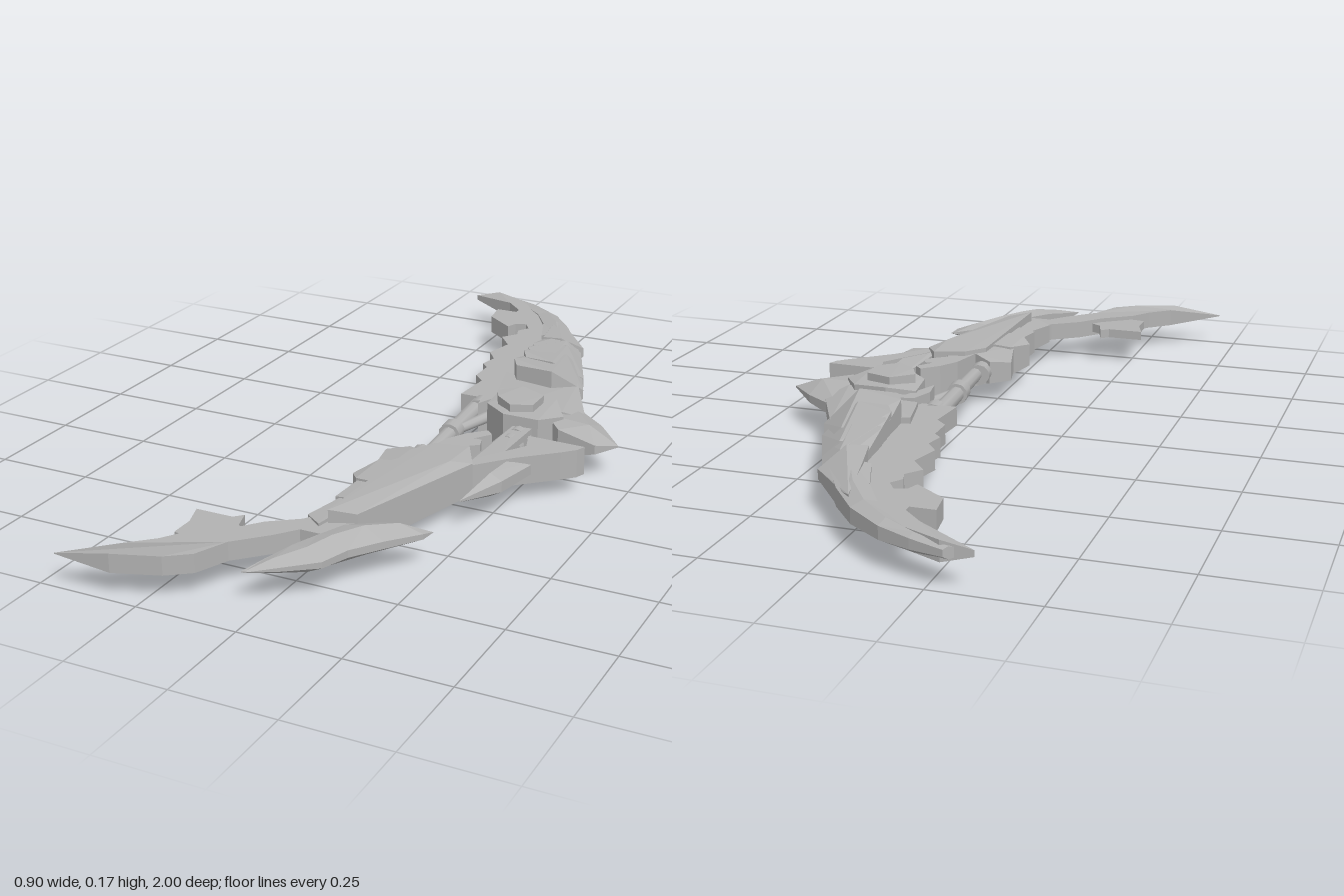
import * as THREE from 'three';
import { ConvexGeometry } from 'three/addons/geometries/ConvexGeometry.js';

const MID = 0.083; // height of the symmetry plane

export function createModel() {
  const model = new THREE.Group();
  model.name = 'curvedBow';
  const grey = new THREE.MeshStandardMaterial({ color: 0xb2b2b2 });
  grey.name = 'plain grey';

  const add = (name, geo) => {
    const mesh = new THREE.Mesh(geo, grey);
    mesh.name = name;
    model.add(mesh);
    return mesh;
  };

  // faceted solid from [x, z, halfHeight] points mirrored about MID
  const hull = (name, pts) => add(name, new ConvexGeometry(pts.flatMap(([x, z, h]) => [
    new THREE.Vector3(x, MID + h, z), new THREE.Vector3(x, MID - h, z)])));

  // flat plate cut from an [x, z] outline; taper(x, z) scales its thickness
  const plate = (name, outline, h, taper = () => 1) => {
    const shape = new THREE.Shape(outline.map(([x, z]) => new THREE.Vector2(x, z)));
    const geo = new THREE.ExtrudeGeometry(shape, { depth: 2 * h, bevelEnabled: false });
    geo.rotateX(Math.PI / 2).translate(0, h, 0);
    const p = geo.attributes.position;
    for (let i = 0; i < p.count; i++) p.setY(i, MID + p.getY(i) * taper(p.getX(i), p.getZ(i)));
    geo.computeVertexNormals();
    return add(name, geo);
  };

  // bladed bar through sections [outerX, outerZ, innerX, innerZ, halfHeight]
  const blade = (name, sections, outerScale, innerScale) => {
    const pos = [], idx = [], n = 6;
    for (const [ox, oz, ix, iz, h] of sections) {
      const mx = (ox + ix) / 2, mz = (oz + iz) / 2, o = h * outerScale, i = h * innerScale;
      for (const [x, y, z] of [[ox, o, oz], [mx, h, mz], [ix, i, iz], [ix, -i, iz], [mx, -h, mz], [ox, -o, oz]])
        pos.push(x, MID + y, z);
    }
    for (let s = 0; s < sections.length - 1; s++)
      for (let k = 0; k < n; k++) {
        const a = s * n + k, b = s * n + (k + 1) % n;
        idx.push(a, a + n, b, b, a + n, b + n);
      }
    const e = (sections.length - 1) * n;
    for (let k = 1; k < n - 1; k++) idx.push(0, k, k + 1, e, e + k + 1, e + k);
    // sections always advance towards +z with the outer edge on +x
    for (let t = 0; t < idx.length; t += 3) [idx[t + 1], idx[t + 2]] = [idx[t + 2], idx[t + 1]];
    const indexed = new THREE.BufferGeometry();
    indexed.setAttribute('position', new THREE.Float32BufferAttribute(pos, 3));
    indexed.setIndex(idx);
    const geo = indexed.toNonIndexed();
    geo.computeVertexNormals();
    return add(name, geo);
  };

  // round bar between two [x, z] points
  const rod = (name, [x0, z0], [x1, z1], r0, r1 = r0, y = MID) => {
    const a = new THREE.Vector3(x0, y, z0), b = new THREE.Vector3(x1, y, z1);
    const d = b.clone().sub(a);
    const mesh = add(name, new THREE.CylinderGeometry(r1, r0, d.length(), 10));
    mesh.position.copy(a).add(b).multiplyScalar(0.5);
    mesh.quaternion.setFromUnitVectors(new THREE.Vector3(0, 1, 0), d.normalize());
  };

  // ragged fin along the inside of the upper limb
  plate('upperFin', [
    [-0.35, -0.98], [-0.21, -0.91], [-0.16, -0.86], [-0.16, -0.84], [-0.22, -0.84], [-0.21, -0.77],
    [-0.13, -0.71], [-0.12, -0.74], [-0.09, -0.75], [-0.07, -0.72], [-0.09, -0.69], [-0.08, -0.66],
    [-0.11, -0.62], [-0.07, -0.57], [-0.09, -0.49], [-0.06, -0.45], [-0.07, -0.4], [-0.05, -0.38],
    [-0.05, -0.31], [-0.02, -0.28], [-0.03, -0.17], [0.06, -0.17], [0.15, -0.3], [0.1, -0.6],
    [0, -0.78], [-0.13, -0.92], [-0.28, -0.99],
  ], 0.024, (x) => (x < -0.3 ? 0.3 : 1));

  // horn curling to the upper tip
  blade('upperHorn', [
    [-0.29, -1, -0.31, -0.985, 0.014], [-0.21, -0.975, -0.22, -0.95, 0.022],
    [-0.13, -0.94, -0.15, -0.9, 0.028], [-0.04, -0.87, -0.09, -0.84, 0.034],
    [0.03, -0.78, -0.04, -0.76, 0.04], [0.1, -0.66, 0, -0.65, 0.045],
  ], 0.55, 0.8);

  // overlapping armour shells, widening towards the grip
  hull('shellTip', [[-0.02, -0.83, 0.03], [0, -0.81, 0.025], [0.01, -0.68, 0.045],
    [0.03, -0.59, 0.055], [0.08, -0.6, 0.055], [0.125, -0.66, 0.012]]);
  const ridges = [[0.165, -0.53], [0.19, -0.485], [0.21, -0.44], [0.24, -0.36]];
  ridges.forEach(([x, z], i) => {
    const h = 0.066 + i * 0.0055;
    hull('shell' + (i + 1), [
      [0.025 + i * 0.006, z - 0.1, h * 0.6], [x - 0.1, z - 0.13, h * 0.65], [x - 0.06, z - 0.14, 0.012],
      [0.035 + i * 0.006, z + 0.03, h], [0.06 + i * 0.006, z + 0.075, h], [x - 0.06, z + 0.08, h], [x, z, 0.012],
    ]);
  });

  // shoulder behind the shells, running out to the large spike
  hull('shoulder', [[0.03, -0.33, 0.04], [0.22, -0.37, 0.025], [0.28, -0.24, 0.014],
    [0.32, -0.17, 0.016], [0.27, -0.13, 0.04], [0.18, -0.19, 0.045], [0.06, -0.2, 0.035]]);
  hull('spike', [[0.25, -0.25, 0.016], [0.37, -0.155, 0.01], [0.445, -0.07, 0.002], [0.4, -0.025, 0.012],
    [0.3, -0.03, 0.035], [0.24, -0.1, 0.04], [0.36, -0.09, 0.036]]);

  // knuckle with raised cheeks above the grip
  hull('knuckle', [[0.08, -0.16, 0.05], [0.15, -0.185, 0.06], [0.24, -0.17, 0.055], [0.29, -0.09, 0.045],
    [0.25, -0.02, 0.055], [0.16, -0.01, 0.06], [0.09, -0.07, 0.055]]);
  hull('knuckleCheek', [[0.1, -0.11, 0.078], [0.15, -0.16, 0.079], [0.22, -0.13, 0.076],
    [0.22, -0.06, 0.076], [0.17, -0.03, 0.079], [0.12, -0.07, 0.08]]);
  plate('upperClaw', [[0.07, -0.2], [0.12, -0.21], [0.14, -0.18], [0.1, -0.18], [0.08, -0.13],
    [0.06, -0.08], [0.05, -0.14]], 0.045);

  // grip bar and the slim struts inside it
  hull('grip', [[0.185, -0.03, 0.03], [0.235, -0.03, 0.03], [0.215, 0.06, 0.028],
    [0.235, 0.16, 0.035], [0.185, 0.24, 0.035], [0.175, 0.22, 0.03]]);
  for (const z of [0, 0.05]) rod('gripRing', [0.205, z - 0.012], [0.205, z + 0.012], 0.035);
  rod('innerStrut', [0.02, -0.18], [0.045, 0.24], 0.022, 0.018);
  rod('crossStrut', [0.09, -0.16], [0.035, 0.02], 0.016, 0.012);
  for (const z of [-0.16, 0.02, 0.2]) rod('strutCollar', [0.03, z - 0.02], [0.034, z + 0.02], 0.028);

  // hooked claws between grip and strut
  plate('lowerClaw', [[0.06, 0.24], [0.08, 0.15], [0.11, 0.1], [0.15, 0.06], [0.17, 0.08], [0.14, 0.12],
    [0.16, 0.12], [0.17, 0.15], [0.12, 0.19], [0.14, 0.23]], 0.04);

  // guard blade pointing outwards, with a thin spur below it
  plate('guard', [[0.25, 0.04], [0.4, 0.045], [0.39, 0.07], [0.36, 0.1], [0.27, 0.18], [0.2, 0.26],
    [0.17, 0.28], [0.19, 0.22], [0.27, 0.1]], 0.036);
  hull('guardSpur', [[0.31, 0.12, 0.012], [0.26, 0.17, 0.03], [0.28, 0.27, 0.014],
    [0.25, 0.27, 0.03], [0.225, 0.385, 0.002]]);

  // lower limb armour
  hull('lowerArmour', [[0.04, 0.27, 0.05], [0.08, 0.21, 0.052], [0.16, 0.19, 0.05], [0.2, 0.26, 0.04],
    [0.16, 0.3, 0.055], [0.11, 0.5, 0.05], [0.09, 0.63, 0.045], [0.03, 0.655, 0.055]]);
  for (let i = 0; i < 5; i++) { // row of teeth on the outer edge
    const z = 0.3 + i * 0.048, x = 0.155 - i * 0.013;
    hull('tooth', [[x - 0.03, z - 0.015, 0.026], [x + 0.03, z - 0.015, 0.022],
      [x + 0.02, z + 0.018, 0.022], [x - 0.04, z + 0.018, 0.026]]);
  }

  // inner grip scales of the lower limb
  hull('innerScaleTop', [[-0.04, 0.24, 0.025], [0.01, 0.21, 0.03], [0.06, 0.24, 0.04],
    [0.06, 0.37, 0.04], [-0.01, 0.36, 0.035], [-0.02, 0.3, 0.03]]);
  hull('innerScaleMiddle', [[-0.01, 0.33, 0.04], [-0.04, 0.41, 0.03], [-0.01, 0.45, 0.04],
    [0.05, 0.46, 0.045], [0.05, 0.33, 0.045]]);
  hull('innerScaleLow', [[-0.005, 0.43, 0.035], [-0.015, 0.54, 0.03], [0.05, 0.55, 0.04], [0.05, 0.43, 0.04]]);
  hull('innerScaleEnd', [[0, 0.53, 0.03], [-0.03, 0.64, 0.025], [0.02, 0.68, 0.03], [0.05, 0.53, 0.035]]);

  // long lower blade, thinning to its point
  plate('lowerBlade', [
    [0.08, 0.62], [0.0, 0.61], [-0.03, 0.66], [-0.1, 0.71], [-0.15, 0.77], [-0.23, 0.83], [-0.265, 0.88],
    [-0.32, 0.93], [-0.455, 1], [-0.32, 0.988], [-0.21, 0.95], [-0.155, 0.91], [-0.12, 0.83],
    [-0.05, 0.76], [-0.01, 0.71], [0.04, 0.71], [0.1, 0.68],
  ], 0.023, (x) => (x < -0.4 ? 0.05 : 1));
  plate('lowerBladeFin', [[-0.12, 0.75], [-0.155, 0.73], [-0.17, 0.68], [-0.19, 0.7], [-0.285, 0.7],
    [-0.265, 0.76], [-0.265, 0.82], [-0.21, 0.83], [-0.16, 0.8]], 0.012);

  // outer spur blade crossing the limb end
  blade('spurBlade', [
    [0.24, 0.555, 0.23, 0.56, 0.002], [0.23, 0.585, 0.12, 0.6, 0.026], [0.17, 0.66, 0.07, 0.65, 0.036],
    [0.12, 0.73, 0.04, 0.72, 0.036], [0.095, 0.8, 0.01, 0.78, 0.03], [0.02, 0.86, -0.015, 0.83, 0.018],
    [-0.03, 0.895, -0.045, 0.9, 0.002],
  ], 0.25, 0.7);

  return model;
}
